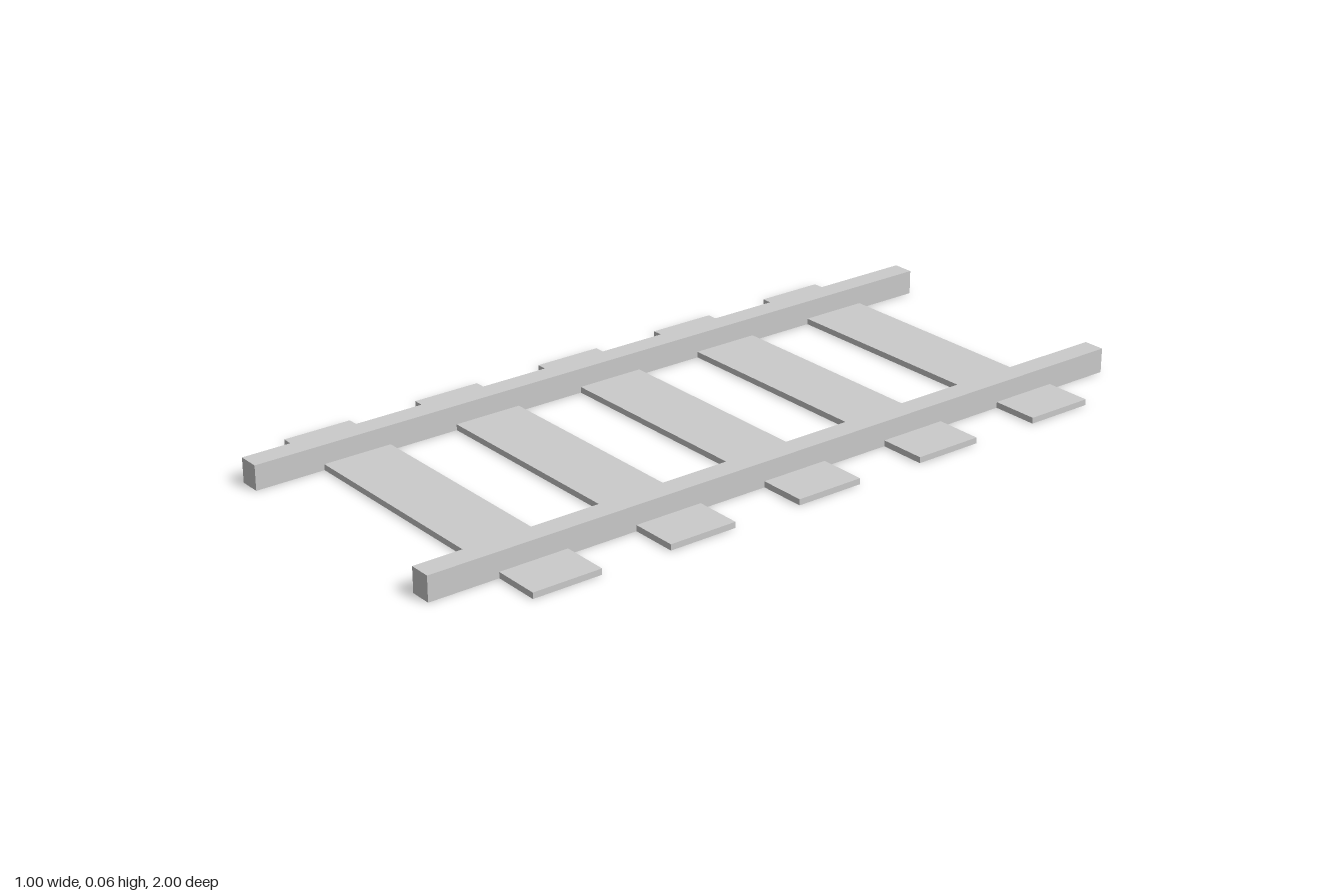
import * as THREE from 'three';

const LENGTH = 2, RAIL_X = 0.35, RAIL_W = 0.056, RAIL_H = 0.063;
const TIE_HALF = 0.5, TIE_D = 0.18, TIE_H = 0.015, TIE_STEP = 0.365;

const material = new THREE.MeshStandardMaterial({
  color: 0xcccccc, flatShading: true, side: THREE.DoubleSide,
});

// Box standing on y = 0 that keeps only the listed sides (0 +x, 1 -x, 2 +y, 3 -y, 4 +z, 5 -z)
function shell(name, x0, x1, height, depth, sides) {
  const geometry = new THREE.BoxGeometry(x1 - x0, height, depth);
  const index = Array.from(geometry.index.array);
  geometry.setIndex(sides.flatMap((s) => index.slice(s * 6, s * 6 + 6)));
  geometry.clearGroups();
  geometry.translate((x0 + x1) / 2, height / 2, 0);
  const mesh = new THREE.Mesh(geometry, material);
  mesh.name = name;
  return mesh;
}

// Sleeper: hollow underneath, interrupted where the rails cross it
function createSleeper() {
  const sleeper = new THREE.Group();
  const inner = RAIL_X - RAIL_W / 2, outer = RAIL_X + RAIL_W / 2;
  sleeper.add(
    shell('sleeperMiddle', -inner, inner, TIE_H, TIE_D, [2, 4, 5]),
    shell('sleeperLeftEnd', outer, TIE_HALF, TIE_H, TIE_D, [0, 2, 4, 5]),
    shell('sleeperRightEnd', -TIE_HALF, -outer, TIE_H, TIE_D, [1, 2, 4, 5]),
  );
  return sleeper;
}

export function createModel() {
  const track = new THREE.Group();
  track.name = 'railwayTrack';

  // Rails: long bars, open underneath
  for (const side of [1, -1]) {
    const x = side * RAIL_X;
    track.add(shell(side > 0 ? 'leftRail' : 'rightRail',
      x - RAIL_W / 2, x + RAIL_W / 2, RAIL_H, LENGTH, [0, 1, 2, 4, 5]));
  }

  // Five evenly spaced sleepers
  for (let i = -2; i <= 2; i++) {
    const sleeper = createSleeper();
    sleeper.name = `sleeper${i + 3}`;
    sleeper.position.z = i * TIE_STEP;
    track.add(sleeper);
  }
  return track;
}
